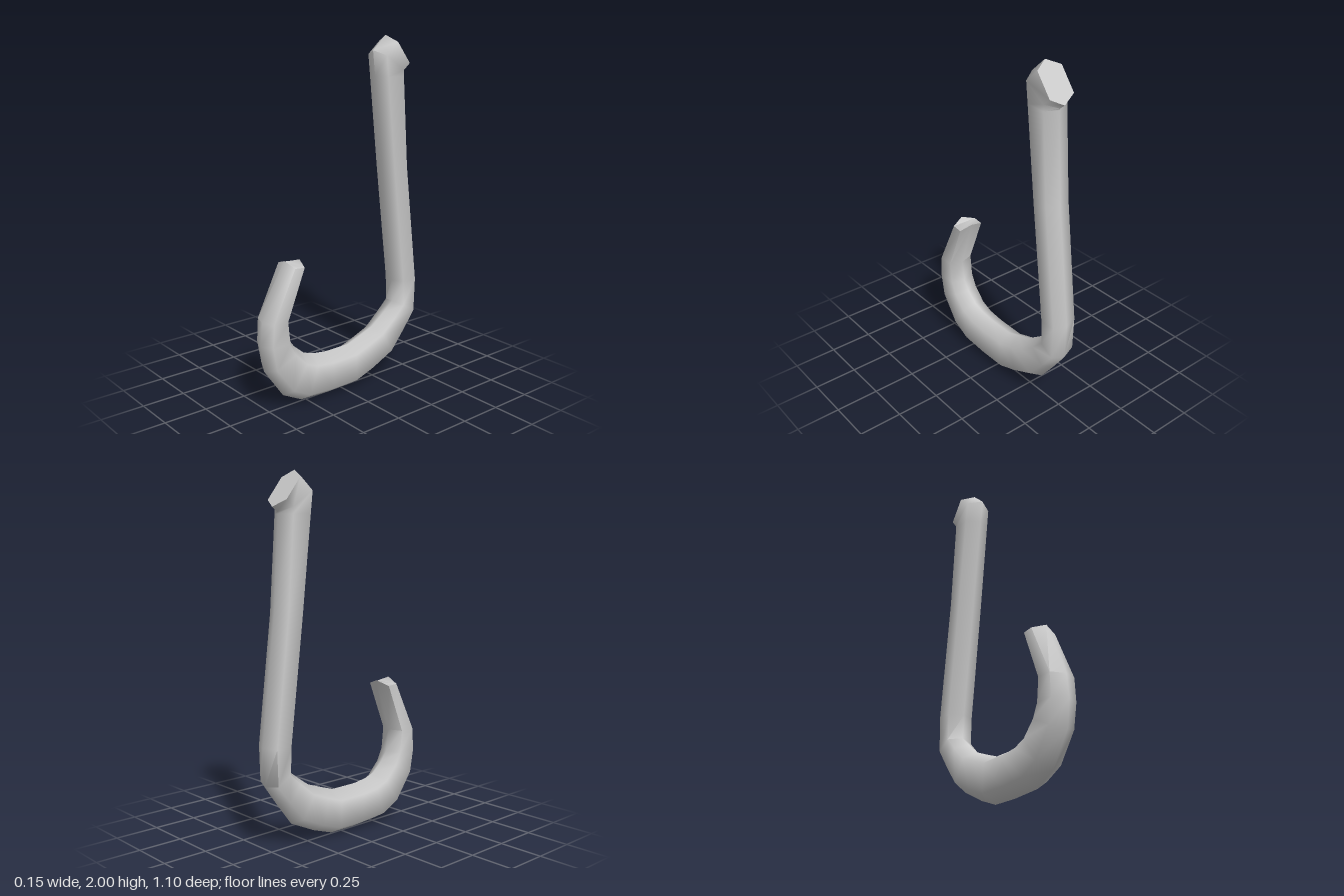
import * as THREE from 'three';
import { toCreasedNormals } from 'three/addons/utils/BufferGeometryUtils.js';

// Stations along the hook, tip to shank top: [outer z, outer y, inner z, inner y]
const STATIONS = [
  [0.385, 0.845, 0.285, 0.835],
  [0.535, 0.53, 0.39, 0.527],
  [0.55, 0.4, 0.37, 0.4],
  [0.53, 0.25, 0.33, 0.345],
  [0.41, 0.077, 0.265, 0.29],
  [0.286, 0.013, 0.2, 0.268],
  [0.1, 0.002, 0.11, 0.256],
  [-0.07, 0.004, -0.06, 0.256],
  [-0.2, 0.049, -0.15, 0.287],
  [-0.36, 0.125, -0.24, 0.32],
  [-0.455, 0.25, -0.33, 0.385],
  [-0.535, 0.363, -0.4, 0.442],
  [-0.545, 0.575, -0.392, 0.575],
  [-0.46, 1.27, -0.31, 1.25],
  [-0.43, 1.775, -0.245, 1.78],
  [-0.433, 1.785, -0.228, 1.92],
  [-0.466, 1.81, -0.318, 2.0],
];
const HALF_WIDTH = 0.077;
const RIDGE_X = 0.006;

// Six-sided section: [x, fraction of the way from outer to inner ridge]
const SECTION = [
  [RIDGE_X, 0], [HALF_WIDTH, 0.19], [HALF_WIDTH, 0.81],
  [RIDGE_X, 1], [-HALF_WIDTH, 0.81], [-HALF_WIDTH, 0.19],
];

function hookGeometry() {
  const positions = [];
  const index = [];
  const sides = SECTION.length;
  const last = STATIONS.length - 1;

  STATIONS.forEach(([oz, oy, iz, iy], s) => {
    for (const [x, t] of SECTION) {
      // the tip is slightly roof-shaped, so its side corners sit lower
      const drop = s === 0 && x !== RIDGE_X ? 0.028 : 0;
      positions.push(x, oy + (iy - oy) * t - drop, oz + (iz - oz) * t);
    }
  });

  // walls between neighbouring sections
  for (let s = 0; s < last; s++) {
    for (let j = 0; j < sides; j++) {
      const k = (j + 1) % sides;
      const a = s * sides + j, b = s * sides + k;
      const c = a + sides, d = b + sides;
      index.push(a, c, b, b, c, d);
    }
  }

  // end caps, split evenly from one ridge to the other
  const e = last * sides;
  for (const [a, b, c] of [[0, 1, 5], [1, 2, 5], [2, 4, 5], [2, 3, 4]]) {
    index.push(a, b, c);
    index.push(e + a, e + c, e + b);
  }

  const geometry = new THREE.BufferGeometry();
  geometry.setAttribute('position', new THREE.Float32BufferAttribute(positions, 3));
  geometry.setIndex(index);
  return toCreasedNormals(geometry, THREE.MathUtils.degToRad(72));
}

export function createModel() {
  const group = new THREE.Group();
  group.name = 'hook';
  const material = new THREE.MeshStandardMaterial({ color: 0xcccccc });
  const hook = new THREE.Mesh(hookGeometry(), material);
  hook.name = 'hookBody';
  group.add(hook);
  return group;
}
